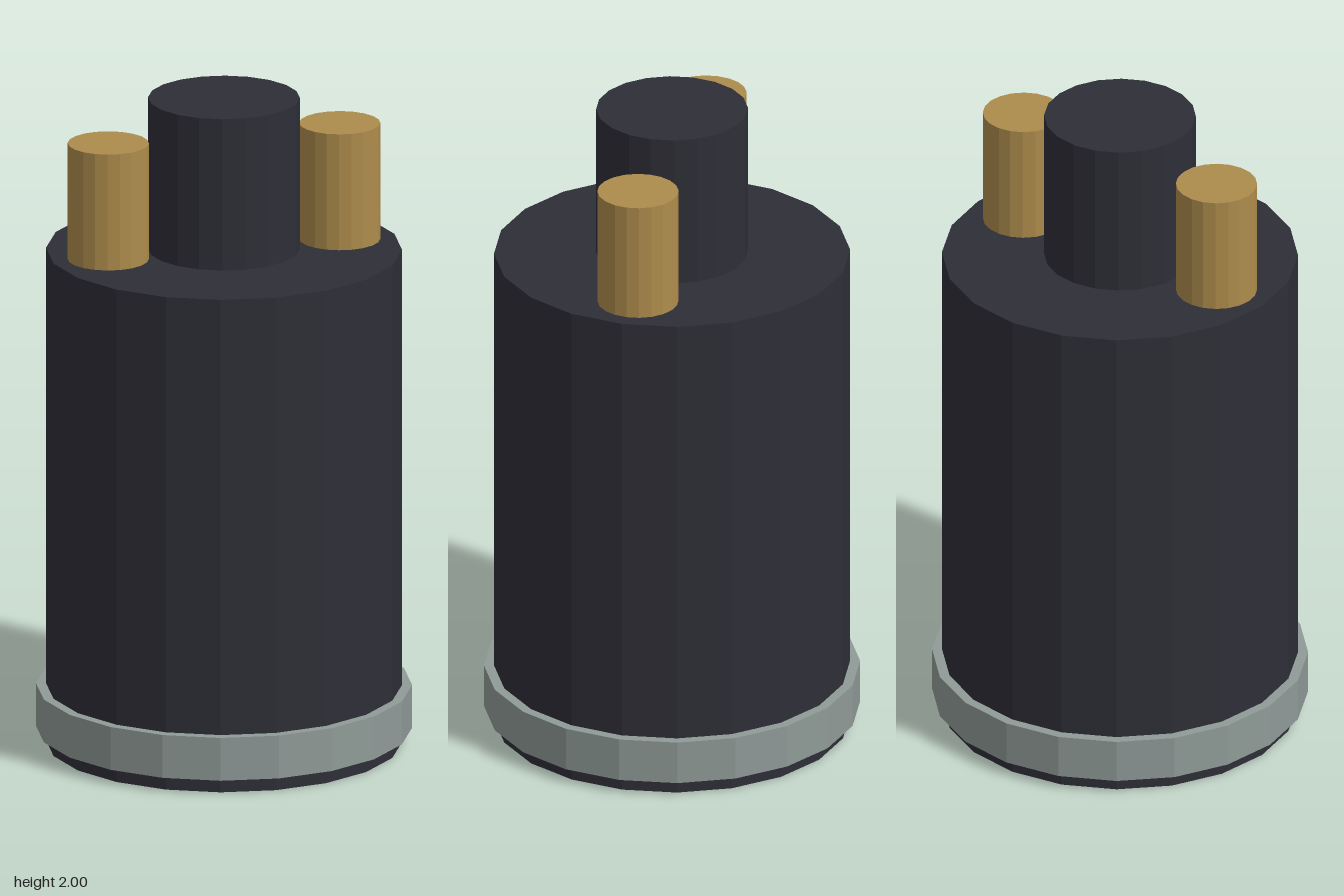
import * as THREE from 'three';

const material = (name, color) => {
  const m = new THREE.MeshStandardMaterial({ color, flatShading: true });
  m.name = name;
  return m;
};

export function createModel() {
  const model = new THREE.Group();
  model.name = 'canisterWithPins';
  const dark = material('darkCasing', 0x2e2e37);
  const grey = material('greyMetal', 0x8f9a97);
  const brass = material('brass', 0xae8c4c);

  // Upright 20-sided cylinder between two heights
  const addCylinder = (name, mat, radius, bottom, top, x = 0) => {
    const mesh = new THREE.Mesh(new THREE.CylinderGeometry(radius, radius, top - bottom, 20), mat);
    mesh.name = name;
    mesh.position.set(x, (bottom + top) / 2, 0);
    model.add(mesh);
  };

  addCylinder('body', dark, 0.53, 0, 1.53);
  addCylinder('baseBand', grey, 0.56, 0.045, 0.178);
  addCylinder('centralPost', dark, 0.226, 1.53, 2);

  // Brass pins either side of the post
  addCylinder('leftPin', brass, 0.121, 1.53, 1.89, 0.36);
  addCylinder('rightPin', brass, 0.121, 1.53, 1.89, -0.36);

  return model;
}
